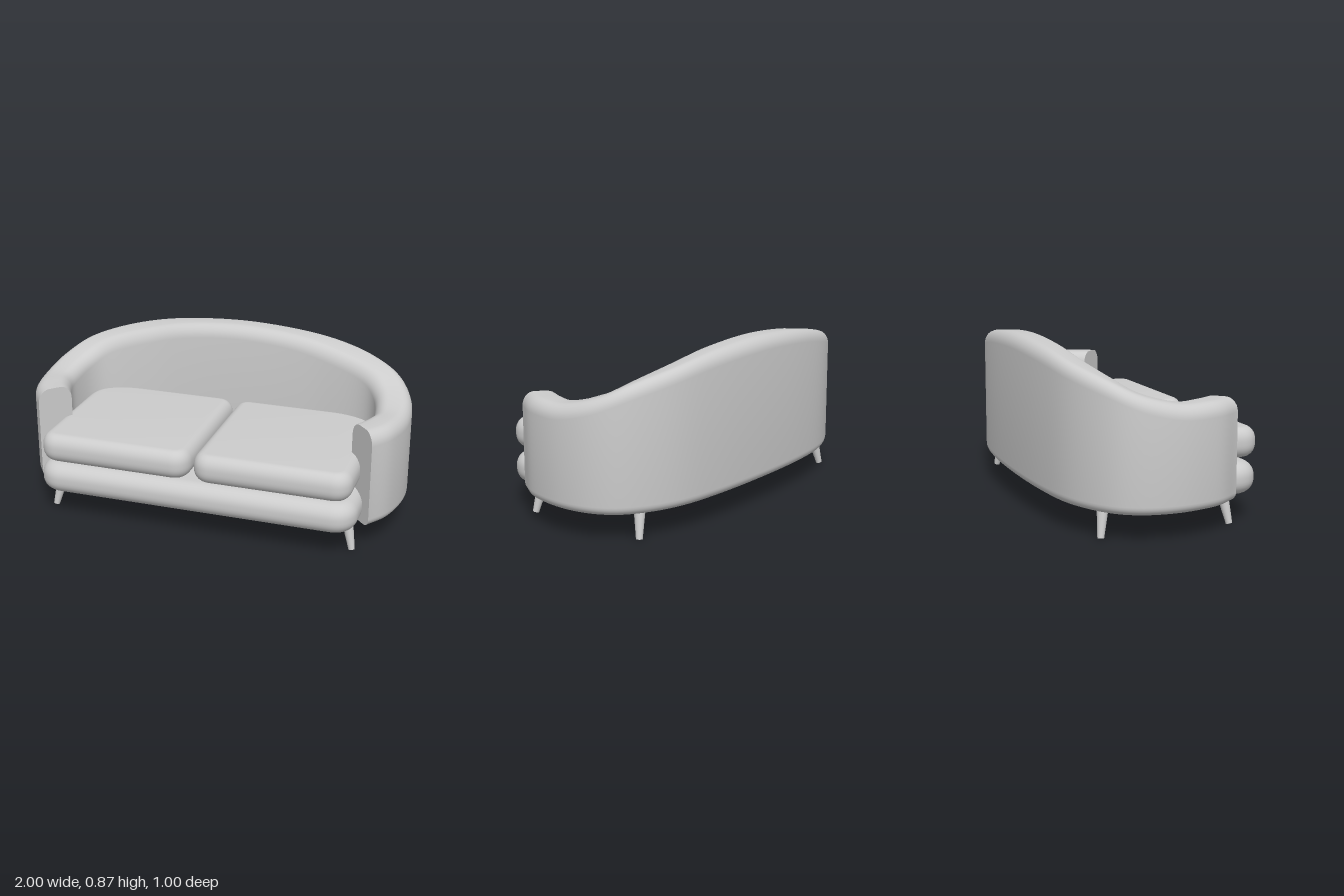
import * as THREE from 'three';
import { toCreasedNormals } from 'three/addons/utils/BufferGeometryUtils.js';

const fabric = new THREE.MeshStandardMaterial({ color: 0xcccccc });
fabric.name = 'light grey';

function add(parent, name, geometry) {
  const mesh = new THREE.Mesh(geometry, fabric);
  mesh.name = name;
  parent.add(mesh);
  return mesh;
}

// Wrap-around back and arms: outer x, outer z, inner x, inner z, top height
const ROWS = [
  [0.88, 0.33, 0.755, 0.195, 0.635],
  [0.96, 0.2, 0.8, 0.1, 0.635],
  [1.0, 0.0, 0.82, 0.0, 0.638],
  [0.972, -0.19, 0.788, -0.15, 0.682],
  [0.87, -0.33, 0.7, -0.238, 0.745],
  [0.66, -0.438, 0.5, -0.293, 0.803],
  [0.38, -0.485, 0.29, -0.315, 0.848],
  [0, -0.5, 0, -0.322, 0.868],
];

function shellGeometry() {
  const mirrored = ROWS.slice(0, -1).reverse().map(([a, b, c, d, h]) => [-a, b, -c, d, h]);
  const rows = [...ROWS, ...mirrored];
  const spline = (f) => new THREE.CatmullRomCurve3(rows.map(f), false, 'catmullrom', 0.5);
  const outer = spline((r) => new THREE.Vector3(r[0], r[4], r[1]));
  const inner = spline((r) => new THREE.Vector3(r[2], r[4], r[3]));
  const base = 0.13, steps = 84, arc = 7, position = [], index = [];
  // corners of the section: side (0 outer, 1 inner), top or bottom, start angle
  const corners = [[0, 0, -90], [0, 1, 180], [1, 1, 90], [1, 0, 0]];
  const ring = corners.length * (arc + 1);

  for (let i = 0; i <= steps; i++) {
    const o = outer.getPoint(i / steps), n = inner.getPoint(i / steps);
    const top = o.y, width = Math.hypot(o.x - n.x, o.z - n.z);
    for (const [side, up, start] of corners) {
      const rx = up ? 0.062 : 0.045, ry = up ? 0.07 : 0.045;
      for (let k = 0; k <= arc; k++) {
        // angle runs clockwise from the outer bottom corner
        const a = THREE.MathUtils.degToRad(start - (90 * k) / arc);
        const u = (side ? width - rx : rx) + rx * Math.cos(a);
        const y = (up ? top - ry : base + ry) + ry * Math.sin(a);
        const t = u / width;
        position.push(o.x + (n.x - o.x) * t, y, o.z + (n.z - o.z) * t);
      }
    }
  }
  for (let i = 0; i < steps; i++) {
    for (let j = 0; j < ring; j++) {
      const a = i * ring + j, b = i * ring + ((j + 1) % ring);
      index.push(a, a + ring, b, b, a + ring, b + ring);
    }
  }
  // flat ends of the arms
  const last = steps * ring;
  for (let j = 1; j < ring - 1; j++) {
    index.push(0, j, j + 1, last, last + j + 1, last + j);
  }
  const g = new THREE.BufferGeometry();
  g.setAttribute('position', new THREE.Float32BufferAttribute(position, 3));
  g.setIndex(index);
  return toCreasedNormals(g, 0.8);
}

// Padded slab lying flat, with a fully rounded rim; radii: front and back corners
function padGeometry(x0, x1, z0, z1, y0, y1, rim, front, backLeft, backRight) {
  const l = x0 + rim, r = x1 - rim, f = -(z1 - rim), b = -(z0 + rim);
  const s = new THREE.Shape();
  s.moveTo(l + front, f);
  s.lineTo(r - front, f);
  s.quadraticCurveTo(r, f, r, f + front);
  s.lineTo(r, b - backRight * 0.7);
  s.quadraticCurveTo(r, b, r - backRight, b);
  s.lineTo(l + backLeft, b);
  s.quadraticCurveTo(l, b, l, b - backLeft * 0.7);
  s.lineTo(l, f + front);
  s.quadraticCurveTo(l, f, l + front, f);
  const bevel = (y1 - y0) * 0.44;
  const g = new THREE.ExtrudeGeometry(s, {
    depth: y1 - y0 - 2 * bevel, bevelThickness: bevel, bevelSize: rim,
    bevelSegments: 8, curveSegments: 10,
  });
  g.rotateX(-Math.PI / 2);
  g.translate(0, y0 + bevel, 0);
  return toCreasedNormals(g, 0.8);
}

// Tapered, splayed leg between two points
function legGeometry(bottom, top) {
  const dir = top.clone().sub(bottom);
  const g = new THREE.CylinderGeometry(0.031, 0.016, dir.length(), 20);
  g.applyQuaternion(new THREE.Quaternion().setFromUnitVectors(
    new THREE.Vector3(0, 1, 0), dir.clone().normalize()));
  const mid = bottom.clone().add(top).multiplyScalar(0.5);
  return g.translate(mid.x, mid.y, mid.z);
}

export function createModel() {
  const sofa = new THREE.Group();
  sofa.name = 'sofa';

  add(sofa, 'backAndArms', shellGeometry());
  add(sofa, 'seatBase', padGeometry(-0.838, 0.838, -0.38, 0.495, 0.135, 0.297, 0.075, 0.05, 0.3, 0.3));

  // two seat cushions
  add(sofa, 'leftCushion', padGeometry(0.008, 0.815, -0.32, 0.5, 0.315, 0.465, 0.055, 0.04, 0.03, 0.2));
  add(sofa, 'rightCushion', padGeometry(-0.815, -0.008, -0.32, 0.5, 0.315, 0.465, 0.055, 0.04, 0.2, 0.03));

  // four legs
  for (const sx of [-1, 1]) {
    for (const sz of [-1, 1]) {
      const name = (sz > 0 ? 'front' : 'back') + (sx > 0 ? 'Left' : 'Right') + 'Leg';
      add(sofa, name, legGeometry(
        new THREE.Vector3(sx * 0.806, 0.002, sz * 0.335),
        new THREE.Vector3(sx * 0.768, 0.17, sz * 0.308)));
    }
  }
  return sofa;
}
